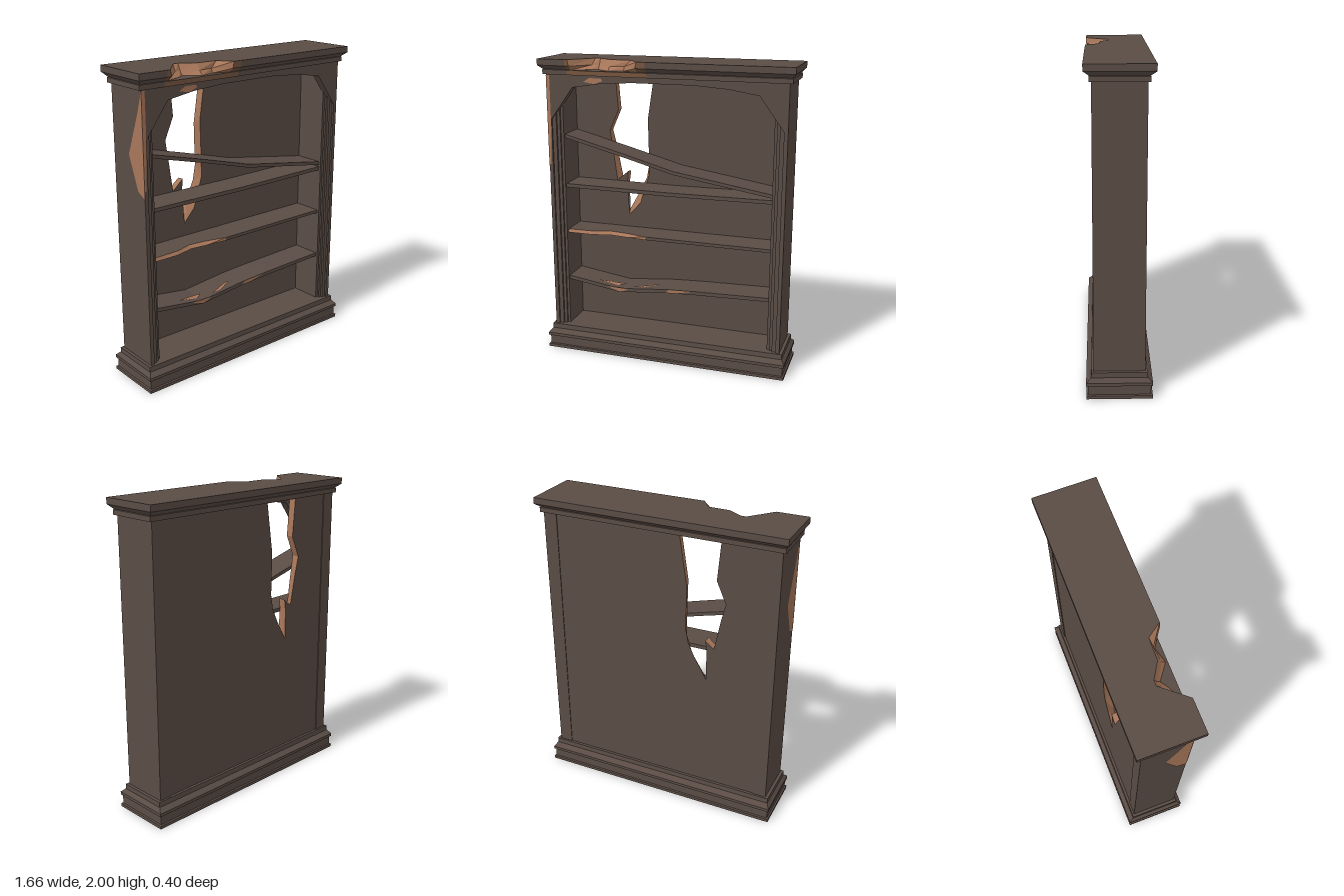
import * as THREE from 'three';

const material = (name, color) =>
  new THREE.MeshStandardMaterial({ name, color, side: THREE.DoubleSide, flatShading: true });

const V2 = (p) => new THREE.Vector2(p[0], p[1]);

export function createModel() {
  const wood = material('dark wood', 0x5a4c45);
  const raw = material('splintered wood', 0xa8775a);
  const stain = material('scuffed wood', 0x74553f);
  const mats = [wood, raw, stain];
  const root = new THREE.Group();
  root.name = 'brokenBookcase';

  const add = (name, geo, mat = wood) => {
    const mesh = new THREE.Mesh(geo, mat);
    mesh.name = name;
    root.add(mesh);
    return mesh;
  };
  const box = (name, x0, x1, y0, y1, z0, z1) =>
    add(name, new THREE.BoxGeometry(x1 - x0, y1 - y0, z1 - z0)
      .translate((x0 + x1) / 2, (y0 + y1) / 2, (z0 + z1) / 2));

  // Convex flat patch through 3D points
  const patch = (name, pts, mat = raw) => {
    const out = [];
    for (let i = 1; i < pts.length - 1; i++) out.push(...pts[0], ...pts[i], ...pts[i + 1]);
    const g = new THREE.BufferGeometry();
    g.setAttribute('position', new THREE.Float32BufferAttribute(out, 3));
    g.computeVertexNormals();
    return add(name, g, mat);
  };

  // Stacked plan outlines [x, z] joined by walls; colour(segment, ring) picks the material
  const loft = (name, rings, colour = () => 0) => {
    const lists = mats.map(() => []);
    const at = (r, i) => {
      const p = r.pts[i % r.pts.length];
      return [p[0], r.y, p[1]];
    };
    for (let k = 0; k < rings.length - 1; k++) {
      const [lo, hi] = [rings[k], rings[k + 1]];
      for (let i = 0; i < lo.pts.length; i++) {
        const [a, b, c, d] = [at(lo, i), at(lo, i + 1), at(hi, i + 1), at(hi, i)];
        lists[colour(i, k)].push(...a, ...b, ...c, ...a, ...c, ...d);
      }
    }
    for (const r of [rings[0], rings[rings.length - 1]]) {
      const contour = r.pts.map((p) => new THREE.Vector2(p[0], -p[1]));
      for (const [a, b, c] of THREE.ShapeUtils.triangulateShape(contour, [])) {
        const order = r === rings[0] ? [a, c, b] : [a, b, c];
        order.forEach((i) => lists[0].push(...at(r, i)));
      }
    }
    const g = new THREE.BufferGeometry();
    let start = 0;
    lists.forEach((l, m) => {
      if (l.length) g.addGroup(start, l.length / 3, m);
      start += l.length / 3;
    });
    g.setAttribute('position', new THREE.Float32BufferAttribute(lists.flat(), 3));
    g.computeVertexNormals();
    return add(name, g, mats);
  };

  // Moulded plinth
  const rect = (w, d) => [[-w, -d], [-w, d], [w, d], [w, -d]];
  loft('plinth', [
    [0, 0.83, 0.2], [0.02, 0.83, 0.2], [0.024, 0.82, 0.19], [0.08, 0.82, 0.19], [0.085, 0.83, 0.2],
    [0.105, 0.83, 0.2], [0.132, 0.81, 0.17], [0.165, 0.81, 0.168],
  ].map(([y, w, d]) => ({ y, pts: rect(w, d) })));

  // Cornice with a bite broken out of its front edge
  const biteTop = [[-0.62, 0.2], [-0.49, 0.045], [-0.455, 0.045], [-0.36, 0.105], [-0.22, 0.11], [-0.155, 0.2]];
  const biteLow = [[-0.61, 0.18], [-0.5, 0.115], [-0.455, 0.085], [-0.36, 0.155], [-0.265, 0.13], [-0.165, 0.18]];
  const corniceRing = (y, w, d, bite) => ({
    y,
    pts: [[-w, -d], [-w, d], [-0.64, d],
      ...bite.map(([x, z], i) => [x, i === 0 || i === 5 ? d : Math.min(z, d)]),
      [-0.1, d], [w, d], [w, -d]],
  });
  const noBite = biteTop.map(([x]) => [x, 1]);
  loft('cornice', [
    corniceRing(1.9, 0.81, 0.168, noBite),
    corniceRing(1.93, 0.81, 0.168, noBite),
    corniceRing(1.933, 0.805, 0.165, biteLow),
    corniceRing(1.96, 0.83, 0.2, biteLow.map(([x, z], i) => [x, (z + biteTop[i][1]) / 2])),
    corniceRing(2, 0.83, 0.2, biteTop),
  ], (i, k) => {
    if (i < 2 || i > 8) return 0;
    if (k === 1) return 0;
    if (i === 2 || i === 8 || k === 0) return 2;
    return 1;
  });

  // Side walls
  for (const s of [-1, 1]) {
    box(s > 0 ? 'leftSide' : 'rightSide', Math.min(s * 0.7, s * 0.79), Math.max(s * 0.7, s * 0.79), 0.165, 1.9, -0.155, 0.1);
  }

  // Stepped face frame with an arched opening
  [[0.7, 0.1, 0.115], [0.718, 0.115, 0.128], [0.738, 0.128, 0.142], [0.765, 0.142, 0.155]].forEach(([w, z0, z1]) => {
    const half = [[w, 0.165], [w, 1.7 - (w - 0.7) * 1.4], [0.61, 1.82], [0.42, 1.85], [0.2, 1.865]];
    const mirrored = half.map(([x, y]) => [-x, y]).reverse();
    const shape = new THREE.Shape([[0.79, 0.165], [0.79, 1.9], [-0.79, 1.9], [-0.79, 0.165],
      ...mirrored.reverse(), ...half.slice().reverse()].map(V2));
    add('faceFrame', new THREE.ExtrudeGeometry(shape, { depth: z1 - z0, bevelEnabled: false }).translate(0, 0, z0));
  });

  // Back panel with a jagged hole, wider on the inside
  const holeBack = [[-0.415, 1.895], [-0.394, 1.65], [-0.457, 1.507], [-0.43, 1.395], [-0.388, 1.183], [-0.33, 1.23],
    [-0.34, 1.156], [-0.34, 0.955], [-0.256, 1.103], [-0.215, 1.19], [-0.196, 1.29], [-0.2, 1.57], [-0.15, 1.895]];
  const holeFront = [[-0.415, 1.895], [-0.396, 1.65], [-0.459, 1.507], [-0.438, 1.37], [-0.41, 1.167], [-0.332, 1.235],
    [-0.34, 1.156], [-0.325, 0.93], [-0.245, 1.02], [-0.182, 1.22], [-0.182, 1.33], [-0.188, 1.6], [-0.142, 1.895]];
  for (const [hole, z, name] of [[holeFront, -0.1, 'backPanelInside'], [holeBack, -0.15, 'backPanelOutside']]) {
    const s = new THREE.Shape([[-0.7, 0.165], [0.7, 0.165], [0.7, 1.9], [-0.7, 1.9]].map(V2));
    s.holes.push(new THREE.Path(hole.map(V2)));
    const g = new THREE.ShapeGeometry(s).translate(0, 0, z);
    if (z < -0.12) {
      const ix = g.index.array;
      for (let i = 0; i < ix.length; i += 3) [ix[i], ix[i + 1]] = [ix[i + 1], ix[i]];
      g.computeVertexNormals();
    }
    add(name, g);
  }
  holeBack.forEach((b, i) => {
    const j = (i + 1) % holeBack.length;
    patch('holeEdge', [[...holeFront[i], -0.1], [...holeFront[j], -0.1], [...holeBack[j], -0.15], [...b, -0.15]]);
  });

  // Bent shelves, each a top line with a matching lower line
  const shelf = (name, top, thick) => {
    const low = top.map(([x, y]) => [x, y - thick]);
    const s = new THREE.Shape([...low, ...top.slice().reverse()].map(V2));
    add(name, new THREE.ExtrudeGeometry(s, { depth: 0.2, bevelEnabled: false }).translate(0, 0, -0.1));
  };
  shelf('fallenShelf', [[-0.7, 1.503], [-0.3, 1.4], [0.05, 1.305], [0.7, 1.203]], 0.023);
  shelf('upperShelf', [[-0.7, 1.167], [0, 1.161], [0.7, 1.167]], 0.025);
  shelf('saggingShelf', [[-0.7, 0.51], [-0.33, 0.457], [0, 0.49], [0.2, 0.5], [0.7, 0.515]], 0.025);

  // Middle shelf with a splintered front edge
  const edge = [[-0.7, 0.09], [-0.52, 0.085], [-0.4, 0.05], [-0.28, 0.065], [-0.14, 0.1]];
  const shelfRing = (y, out) => ({
    y,
    pts: [[-0.7, -0.1], ...edge.map(([x, z]) => [x, Math.min(0.1, z + out)]), [0.7, 0.1], [0.7, -0.1]],
  });
  loft('splinteredShelf', [shelfRing(0.824, 0.02), shelfRing(0.845, 0)], (i) => (i >= 1 && i <= 4 ? 1 : 0));

  // Splinters on the front and top of the sagging shelf
  const z = 0.102;
  patch('shelfSplinter', [[-0.33, 0.434, z], [-0.27, 0.455, z], [-0.3, 0.464, z], [-0.36, 0.464, z], [-0.42, 0.463, z]]);
  patch('shelfSplinter', [[0, 0.467, z], [0.06, 0.469, z], [0.19, 0.497, z], [0.02, 0.49, z]]);
  patch('shelfSplinter', [[-0.5, 0.488, 0.06], [-0.36, 0.466, 0.07], [-0.3, 0.468, 0.03], [-0.42, 0.476, 0.035]]);
  patch('shelfSplinter', [[-0.24, 0.472, 0.08], [-0.17, 0.479, 0.085], [-0.06, 0.491, 0.03], [-0.1, 0.487, 0.03]]);

  // Chipped right corner post and arch
  const x = -0.792;
  patch('sideChip', [[x, 1.26, 0.155], [x, 1.29, 0.09], [x, 1.5, 0.005], [x, 1.77, 0.115], [x, 1.89, 0.155]]);
  patch('postChip', [[x, 1.895, 0.157], [x, 1.3, 0.157], [-0.778, 1.31, 0.157], [-0.768, 1.55, 0.157], [-0.768, 1.895, 0.157]]);
  patch('archChip', [[-0.53, 1.86, 0.157], [-0.46, 1.848, 0.157], [-0.4, 1.868, 0.157], [-0.41, 1.885, 0.157], [-0.49, 1.885, 0.157]]);

  return root;
}
